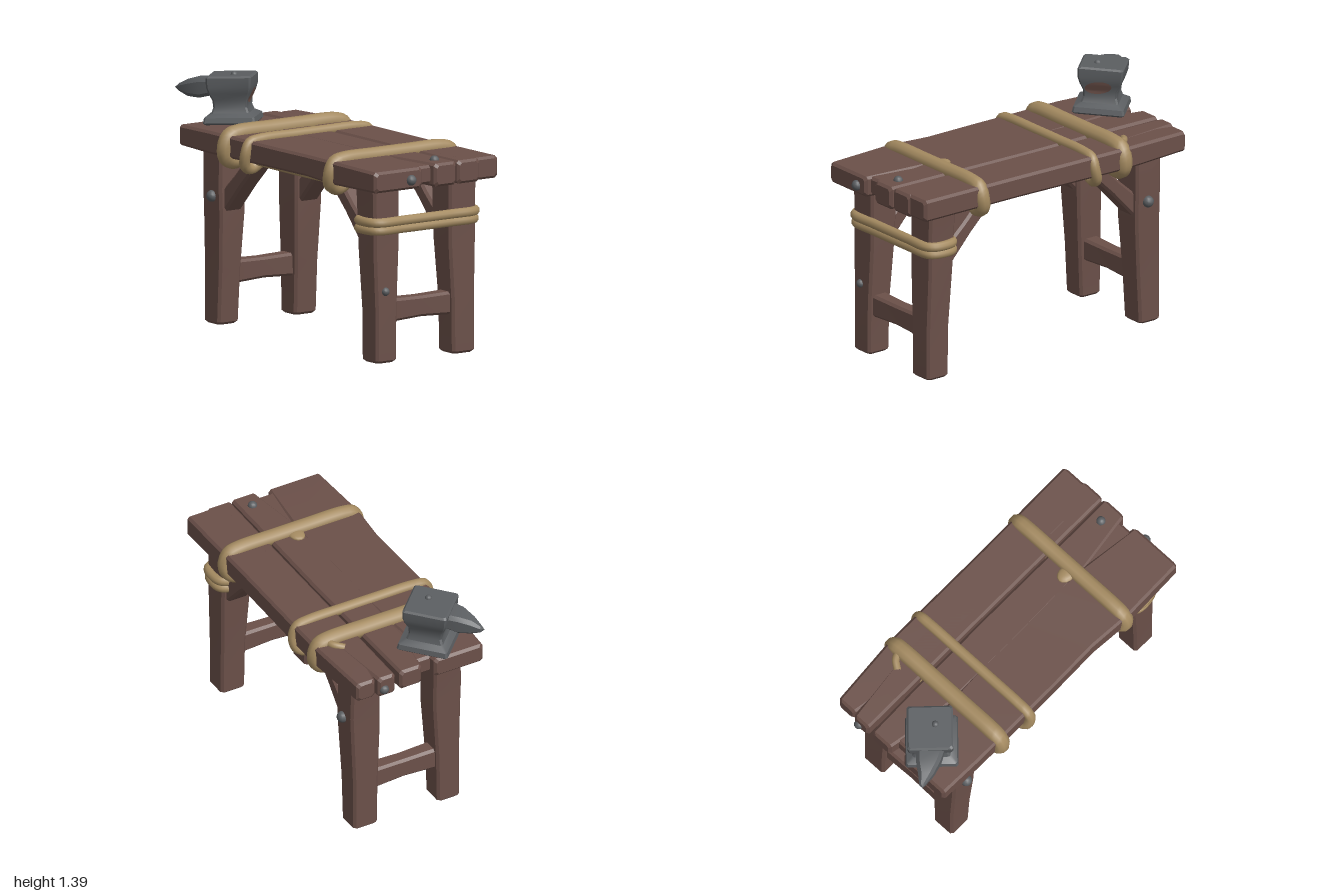
import * as THREE from 'three';
import { toCreasedNormals } from 'three/addons/utils/BufferGeometryUtils.js';

const mat = (name, color) => Object.assign(new THREE.MeshStandardMaterial({ color }), { name });

export function createModel() {
  const wood = mat('wood', 0x6b5049);
  const rope = mat('rope', 0xa58b61);
  const iron = mat('iron', 0x5b5e61);
  const model = new THREE.Group();
  model.name = 'workbench';

  const add = (parent, name, geo, material) => {
    const mesh = new THREE.Mesh(geo, material);
    mesh.name = name;
    parent.add(mesh);
    return mesh;
  };

  // Chamfered beam through rectangles [t, a0, a1, b0, b1].
  // Along x: a = y, b = z. Along y: a = z, b = x.
  function beam(axis, sections, chamfer = 0.014) {
    const list = sections.map((s) => [...s]);
    const shrink = ([t, a0, a1, b0, b1], c) => [t, a0 + c, a1 - c, b0 + c, b1 - c];
    const first = list[0], last = list[list.length - 1];
    list.unshift(shrink(first, chamfer));
    list.push(shrink(last, chamfer));
    first[0] += chamfer;
    last[0] -= chamfer;
    const pos = [], idx = [];
    for (const [t, a0, a1, b0, b1] of list) {
      const c = Math.min(chamfer, (a1 - a0) * 0.3, (b1 - b0) * 0.3);
      const ring = [[a1, b0 + c], [a1, b1 - c], [a1 - c, b1], [a0 + c, b1],
        [a0, b1 - c], [a0, b0 + c], [a0 + c, b0], [a1 - c, b0]];
      for (const [a, b] of ring) pos.push(...(axis === 'x' ? [t, a, b] : [b, t, a]));
    }
    const end = (list.length - 1) * 8;
    for (let i = 0; i < end; i += 8) {
      for (let j = 0; j < 8; j++) {
        const k = (j + 1) % 8;
        idx.push(i + j, i + k, i + 8 + k, i + j, i + 8 + k, i + 8 + j);
      }
    }
    for (let j = 1; j < 7; j++) idx.push(0, j + 1, j, end, end + j, end + j + 1);
    const geo = new THREE.BufferGeometry();
    geo.setAttribute('position', new THREE.Float32BufferAttribute(pos, 3));
    geo.setIndex(idx);
    return toCreasedNormals(geo, 0.5);
  }

  const tube = (points, radius, closed, segments = 80) => new THREE.TubeGeometry(
    new THREE.CatmullRomCurve3(points.map((p) => new THREE.Vector3(...p)), closed, 'centripetal'),
    segments, radius, 10, closed);

  // Table top: boards that split apart at their ends and merge in the middle
  const top = new THREE.Group();
  top.name = 'tableTop';
  model.add(top);
  add(top, 'frontBoard', beam('x', [
    [-0.89, 0.975, 1.09, 0.09, 0.4], [-0.6, 0.97, 1.097, 0.06, 0.41], [0, 0.975, 1.095, 0.03, 0.41],
    [0.3, 0.975, 1.095, 0.03, 0.405], [0.55, 0.97, 1.1, 0.04, 0.425], [0.965, 0.975, 1.092, 0.09, 0.415]]), wood);
  add(top, 'middleBoard', beam('x', [
    [-0.9, 0.975, 1.095, -0.135, 0.005], [-0.6, 0.975, 1.098, -0.14, 0.06], [0, 0.975, 1.096, -0.145, 0.07],
    [0.6, 0.975, 1.098, -0.14, 0.06], [0.97, 0.97, 1.1, -0.14, 0.01]]), wood);
  add(top, 'splitFiller', beam('x', [[-0.84, 0.985, 1.088, -0.01, 0.11], [0.93, 0.985, 1.088, -0.01, 0.11]]), wood);
  add(top, 'backInnerBoard', beam('x', [
    [-0.9, 0.97, 1.095, -0.272, -0.162], [-0.4, 0.975, 1.098, -0.33, -0.158], [0.4, 0.975, 1.098, -0.33, -0.153],
    [0.965, 0.97, 1.1, -0.3, -0.148]]), wood);
  add(top, 'backOuterBoard', beam('x', [
    [-0.885, 0.975, 1.09, -0.4, -0.28], [-0.45, 0.97, 1.098, -0.43, -0.2], [0.3, 0.975, 1.098, -0.425, -0.2],
    [0.955, 0.975, 1.1, -0.43, -0.2]]), wood);

  // Four legs, with braces up to the top
  const braces = [['right', -0.62, 0.67, -0.3, 0.985], ['left', 0.73, 0.68, 0.42, 0.985]];
  for (const side of [1, -1]) {
    const depth = side > 0 ? 'Front' : 'Back';
    const span = (near, far) => (side > 0 ? [near, far] : [-far - 0.01, -near]);
    add(model, `right${depth}Leg`, beam('y', [
      [0, ...span(0.19, 0.33), -0.75, -0.61], [0.3, ...span(0.185, 0.33), -0.75, -0.595],
      [0.62, ...span(0.17, 0.34), -0.745, -0.575], [0.75, ...span(0.17, 0.345), -0.745, -0.575],
      [1.0, ...span(0.17, 0.34), -0.75, -0.58]]), wood);
    add(model, `left${depth}Leg`, beam('y', [
      [0, ...span(0.19, 0.33), 0.72, 0.865], [0.3, ...span(0.187, 0.33), 0.715, 0.865],
      [0.63, ...span(0.17, 0.34), 0.695, 0.86], [0.8, ...span(0.17, 0.34), 0.685, 0.86],
      [1.0, ...span(0.17, 0.345), 0.68, 0.86]]), wood);
    for (const [name, x0, y0, x1, y1] of braces) {
      const length = Math.hypot(x1 - x0, y1 - y0);
      const [z0, z1] = span(0.195, 0.315);
      const brace = add(model, `${name}${depth}Brace`, beam('x', [
        [0, -0.052, 0.055, z0, z1], [length * 0.5, -0.043, 0.043, z0, z1],
        [length, -0.046, 0.046, z0, z1]]), wood);
      brace.position.set(x0, y0, 0);
      brace.rotation.z = Math.atan2(y1 - y0, x1 - x0);
    }
  }

  // Stretchers joining the legs at each end
  for (const [name, x] of [['right', -0.675], ['left', 0.79]]) {
    const stretcher = add(model, `${name}Stretcher`, beam('x', [
      [-0.24, 0.218, 0.348, -0.05, 0.05], [0, 0.228, 0.343, -0.045, 0.045],
      [0.24, 0.218, 0.348, -0.05, 0.05]]), wood);
    stretcher.rotation.y = Math.PI / 2;
    stretcher.position.x = x;
  }

  // Ropes tied round the top: x, radius, lean at the bottom
  for (const [x, r, lean] of [[-0.44, 0.05, -0.005], [-0.225, 0.031, -0.035], [0.55, 0.045, -0.02]]) {
    const yb = 0.9 + r, zo = 0.457 - r;
    const half = [[x, 1.1, 0.1], [x, 1.098, 0.33], [x, 1.083, zo - 0.025], [x, 1.03, zo],
      [x + lean * 0.6, yb + 0.025, zo - 0.01], [x + lean, yb, zo - 0.06], [x + lean, 0.945 + r, 0.26]];
    const back = half.map(([px, py, pz]) => [px, py, -pz]).reverse();
    add(model, 'topRope', tube([...half, ...back], r, true, 110), rope);
  }
  // Lengthwise ropes under the top
  for (const z of [0.33, -0.33]) {
    add(model, 'underRope', tube([[-0.24, 0.968, z], [0.15, 0.966, z], [0.54, 0.968, z]], 0.02, false, 12), rope);
  }
  // Loose rope ends
  add(model, 'ropeTail', tube([[-0.44, 1.1, -0.35], [-0.5, 1.1, -0.33], [-0.54, 1.09, -0.28]], 0.022, false, 14), rope);
  const knot = add(model, 'ropeKnot', new THREE.SphereGeometry(1, 14, 8), rope);
  knot.scale.set(0.06, 0.018, 0.045);
  knot.position.set(0.505, 1.1, 0.01);

  // Two turns of rope binding the left legs
  for (const [y, out] of [[0.787, 0], [0.743, -0.006]]) {
    const half = [[0.72, y, 0.2], [0.69, y, 0.25], [0.69, y, 0.31], [0.72, y, 0.345],
      [0.83, y, 0.345 + out], [0.865 + out, y, 0.31], [0.868 + out, y, 0.15]];
    const back = half.map(([px, py, pz]) => [px, py, -pz - 0.015]).reverse();
    add(model, 'legRope', tube([...half, ...back], 0.027, false, 100), rope);
  }

  // Bolt heads
  const bolts = [[-0.65, 0.72, 0.345, 0.033], [-0.65, 0.72, -0.358, 0.033], [0.862, 0.4, 0.27, 0.024],
    [0.965, 1.027, 0.17, 0.03], [0.86, 1.098, -0.065, 0.027], [-0.895, 1.015, -0.235, 0.028]];
  for (const [x, y, z, r] of bolts) {
    add(model, 'bolt', new THREE.SphereGeometry(r, 12, 8), iron).position.set(x, y, z);
  }

  // Anvil, turned on the corner of the bench and tilted a little
  const tilt = new THREE.Group();
  tilt.name = 'anvil';
  tilt.position.set(-0.72, 1.108, 0.15);
  tilt.rotation.z = 0.06;
  model.add(tilt);
  const anvil = new THREE.Group();
  anvil.name = 'anvilParts';
  anvil.rotation.y = 0.77;
  tilt.add(anvil);
  const profile = [[-0.005, 0.146], [0.034, 0.14], [0.055, 0.105], [0.085, 0.094], [0.125, 0.097],
    [0.165, 0.115], [0.2, 0.125], [0.262, 0.127]];
  add(anvil, 'anvilBody', beam('y', profile.map(([y, h]) => [y, -h, h, -h, h]), 0.01), iron);
  add(anvil, 'anvilHorn', beam('x', [
    [-0.325, 0.165, 0.205, -0.065, -0.03], [-0.25, 0.14, 0.23, -0.07, 0.015],
    [-0.18, 0.135, 0.245, -0.08, 0.055], [-0.09, 0.15, 0.245, -0.08, 0.08]], 0.02), iron);
  add(anvil, 'anvilStud', new THREE.SphereGeometry(0.02, 10, 8), iron).position.set(0.02, 0.26, 0.03);

  // Rust patch following the curve of the anvil's side
  const patch = new THREE.RingGeometry(0.001, 1, 18, 6);
  const p = patch.attributes.position;
  for (let i = 0; i < p.count; i++) {
    const u = p.getX(i) * 0.075, y = 0.145 + p.getY(i) * 0.038 + u * 0.12;
    const k = profile.findIndex((s) => s[0] > y);
    const [[y0, h0], [y1, h1]] = [profile[k - 1], profile[k]];
    p.setXYZ(i, h0 + (h1 - h0) * (y - y0) / (y1 - y0) + 0.004, y, 0.01 - u);
  }
  patch.computeVertexNormals();
  add(anvil, 'rustPatch', patch, wood);

  return model;
}
